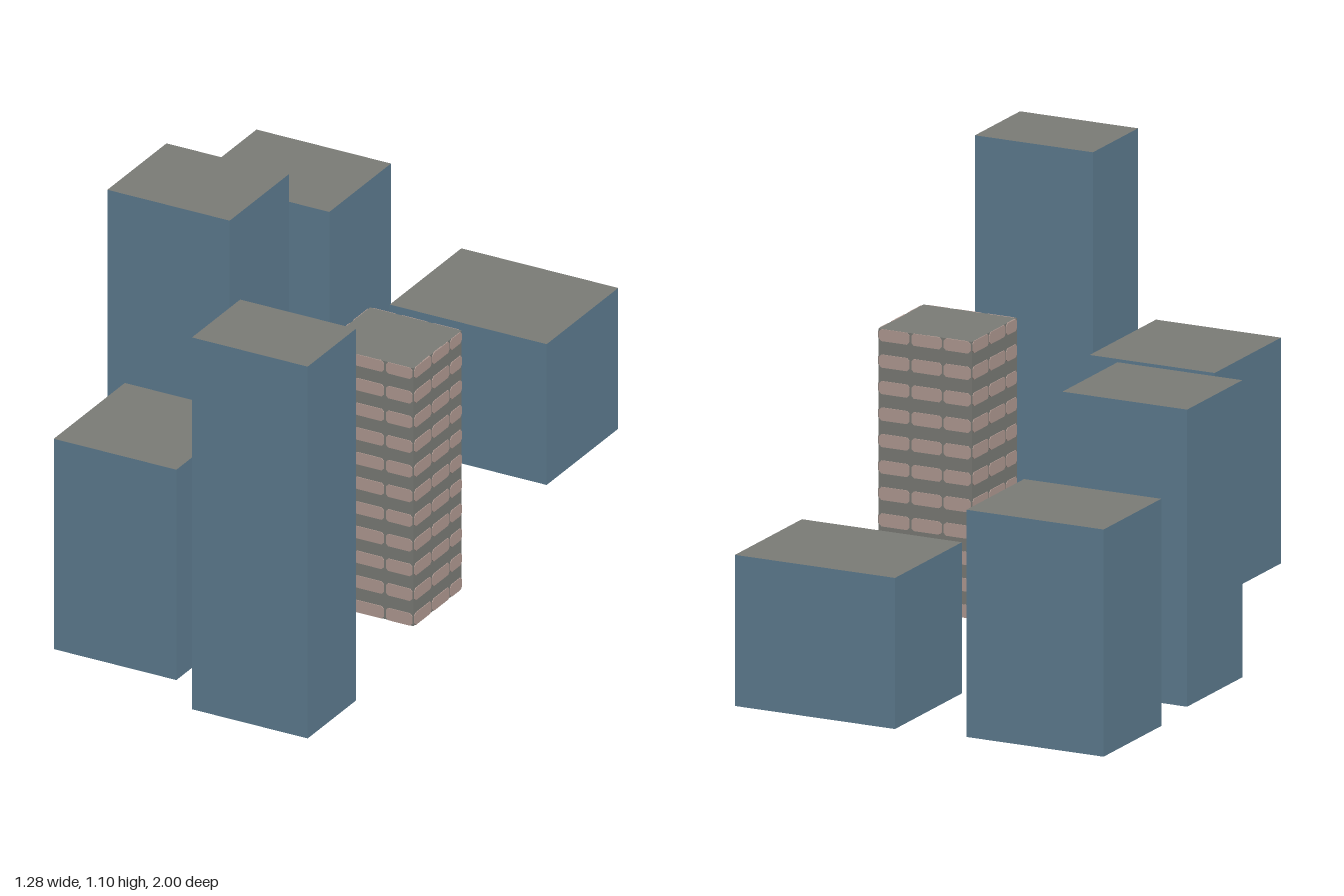
import * as THREE from 'three';
import { mergeGeometries } from 'three/addons/utils/BufferGeometryUtils.js';

const material = (name, color) => {
  const m = new THREE.MeshStandardMaterial({ color, side: THREE.DoubleSide });
  m.name = name;
  return m;
};

// The four sides of a block: outward angle, width, distance from the centre
const sides = (w, d) => [
  [0, w, d / 2], [Math.PI / 2, d, w / 2], [Math.PI, w, d / 2], [-Math.PI / 2, d, w / 2],
];

// Hollow block, open underneath, with a flat roof
function building(name, [x0, x1, z0, z1, h], wallMat, roofMat) {
  const w = x1 - x0, d = z1 - z0;
  const group = new THREE.Group();
  group.name = name;
  group.position.set((x0 + x1) / 2, 0, (z0 + z1) / 2);

  const walls = new THREE.Mesh(mergeGeometries(sides(w, d).map(([angle, width, out]) =>
    new THREE.PlaneGeometry(width, h).translate(0, h / 2, out).rotateY(angle))), wallMat);
  walls.name = 'walls';

  const roof = new THREE.Mesh(
    new THREE.PlaneGeometry(w, d).rotateX(-Math.PI / 2).translate(0, h, 0), roofMat);
  roof.name = 'roof';
  group.add(walls, roof);
  return group;
}

// Thin panel with clipped corners, showing on both faces of a wall
function panel(x0, x1, y0, y1) {
  const c = 0.007;
  const shape = new THREE.Shape([
    [x0 + c, y0], [x1 - c, y0], [x1, y0 + c], [x1, y1 - c],
    [x1 - c, y1], [x0 + c, y1], [x0, y1 - c], [x0, y0 + c],
  ].map(([x, y]) => new THREE.Vector2(x, y)));
  return new THREE.ExtrudeGeometry(shape, { depth: 0.004, bevelEnabled: false })
    .translate(0, 0, -0.002);
}

// Rows of panels around every side of a tower
function panelRows(w, d, h, mat) {
  const pitchX = 0.096, pitchY = 0.0727, gap = 0.003, bandHeight = 0.036;
  const parts = [];
  for (const [angle, width, out] of sides(w, d)) {
    for (let y = 0; y < h - 0.02; y += pitchY) {
      for (let x = 0; x < width - 0.03; x += pitchX) {
        const end = Math.min(x + pitchX, width);
        parts.push(panel(x + gap - width / 2, end - gap - width / 2, y, Math.min(y + bandHeight, h))
          .translate(0, 0, out).rotateY(angle));
      }
    }
  }
  const mesh = new THREE.Mesh(mergeGeometries(parts), mat);
  mesh.name = 'facadePanels';
  return mesh;
}

export function createModel() {
  const blue = material('blue wall', 0x5e7d91);
  const grey = material('grey concrete', 0x7b7c77);
  const pink = material('pink panel', 0xb29b93);
  const model = new THREE.Group();
  model.name = 'cityBlock';

  // Plain blocks: x range, z range, height
  const plain = {
    backRightBlock: [-0.64, -0.232, -0.98, -0.65, 0.624],
    backLeftBlock: [-0.03, 0.446, -1.0, -0.617, 0.415],
    middleRightBlock: [-0.616, -0.245, -0.456, -0.14, 0.816],
    frontMiddleBlock: [-0.206, 0.166, 0.49, 0.87, 0.62],
    frontLeftTower: [0.287, 0.638, 0.742, 1.0, 1.096],
  };
  for (const [name, size] of Object.entries(plain)) model.add(building(name, size, blue, grey));

  // Banded tower
  const [x0, x1, z0, z1, h] = [0.275, 0.553, 0.026, 0.284, 0.76];
  const tower = building('bandedTower', [x0, x1, z0, z1, h], grey, grey);
  tower.add(panelRows(x1 - x0, z1 - z0, h, pink));
  model.add(tower);
  return model;
}
